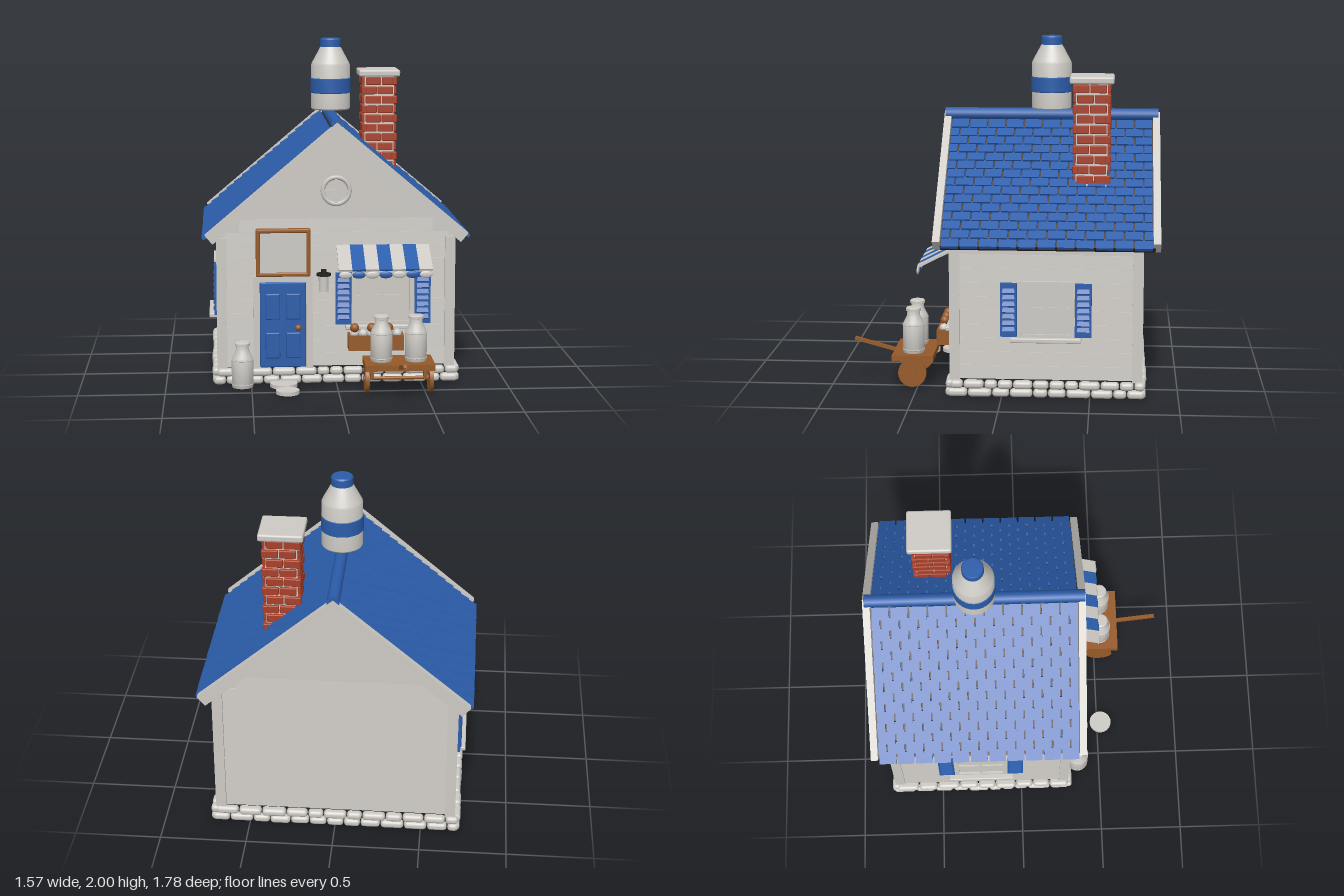
import * as THREE from 'three';
import { mergeGeometries, toCreasedNormals } from 'three/addons/utils/BufferGeometryUtils.js';
import { RoundedBoxGeometry } from 'three/addons/geometries/RoundedBoxGeometry.js';

const mat = (name, color) => Object.assign(new THREE.MeshStandardMaterial({ color }), { name });

export function createModel() {
  const white = mat('white paint', 0xcdcac5), blue = mat('blue paint', 0x2b5dab), wood = mat('wood', 0x965a28);
  const brick = mat('brick', 0xa8402a), dark = mat('dark wood', 0x3b2612), black = mat('black iron', 0x20221e);
  const root = new THREE.Group();
  let seed = 7;
  const rand = () => (seed = (seed * 16807) % 2147483647) / 2147483647;

  // Helpers
  const group = (name, x = 0, y = 0, z = 0, parent = root) => {
    const g = new THREE.Group();
    g.name = name;
    g.position.set(x, y, z);
    parent.add(g);
    return g;
  };
  const add = (parent, name, geo, m, x = 0, y = 0, z = 0) => {
    const mesh = new THREE.Mesh(geo, m);
    mesh.name = name;
    mesh.position.set(x, y, z);
    parent.add(mesh);
    return mesh;
  };
  const box = (p, name, m, w, h, d, x, y, z) => add(p, name, new THREE.BoxGeometry(w, h, d), m, x, y, z);
  const rbox = (p, name, m, w, h, d, x, y, z, r = 0.008) => add(p, name, new RoundedBoxGeometry(w, h, d, 2, r), m, x, y, z);
  const cyl = (p, name, m, r, h, x, y, z, n = 24) => add(p, name, new THREE.CylinderGeometry(r, r, h, n), m, x, y, z);
  const lathe = (p, name, m, pts, n = 32) =>
    add(p, name, toCreasedNormals(new THREE.LatheGeometry(pts.map(a => new THREE.Vector2(...a)), n), 0.6), m);
  const extrude = (p, name, m, pts, depth, z) => {
    const shape = new THREE.Shape(pts.map(a => new THREE.Vector2(...a)));
    return add(p, name, new THREE.ExtrudeGeometry(shape, { depth, bevelEnabled: false }), m, 0, 0, z);
  };

  // House dimensions
  const ZC = -0.25, APEX = 1.46, SLOPE = 0.847, ANGLE = Math.atan(SLOPE);
  const halfAt = y => Math.min(0.68, (APEX - y) / SLOPE);

  // Walls with lapped planks
  const house = group('house');
  extrude(house, 'wallCore', white, [[-0.68, 0.09], [0.68, 0.09], [0.68, 0.884], [0, APEX], [-0.68, 0.884]], 1.04, -0.77);
  const planks = [];
  const plank = (w, y, x, z, ry) => planks.push(new THREE.BoxGeometry(w, 0.077, 0.016)
    .rotateX(-0.07).translate(0, y, 0).rotateY(ry).translate(x, 0, z));
  for (let i = 0; i < 11; i++) {
    const y = 0.14 + i * 0.08, w = 2 * halfAt(y + 0.04);
    plank(w, y, 0, 0.273, 0);
    plank(w, y, 0, -0.773, Math.PI);
    if (i < 9) for (const s of [-1, 1]) plank(1.04, y, s * 0.682, ZC, s * Math.PI / 2);
  }
  add(house, 'wallPlanks', mergeGeometries(planks), white);
  const gable = [[-halfAt(0.98), 0.98], [halfAt(0.98), 0.98], [0, APEX]];
  extrude(house, 'frontGablePanel', white, gable, 0.012, 0.27);
  extrude(house, 'backGablePanel', white, gable, 0.012, -0.782);
  for (const x of [-0.67, 0.67]) for (const z of [0.267, -0.767])
    box(house, 'cornerBoard', white, 0.06, 0.78, 0.06, x, 0.48, z);

  // Stone foundation
  box(house, 'foundation', black, 1.38, 0.1, 1.06, 0, 0.052, ZC);
  const stones = [];
  for (let row = 0; row < 2; row++) for (let side = 0; side < 4; side++) {
    const len = side % 2 ? 1.12 : 1.44, dist = side % 2 ? 0.7 : 0.54;
    for (let t = -len / 2 + row * 0.02; t < len / 2 - 0.03;) {
      const w = Math.min(0.07 + rand() * 0.07, len / 2 - t);
      stones.push(new RoundedBoxGeometry(w, 0.047, 0.05 + rand() * 0.015, 2, 0.02)
        .translate(t + w / 2, 0.026 + row * 0.047, dist).rotateY(side * Math.PI / 2).translate(0, 0, ZC));
      t += w + 0.004;
    }
  }
  add(house, 'foundationStones', mergeGeometries(stones), white);

  // Roof: slab, barge boards, tiles and ridge
  const roof = group('roof');
  const chevron = (x, t) => {
    const top = APEX + t / Math.cos(ANGLE), dx = t * Math.sin(ANGLE), dy = t * Math.cos(ANGLE), y = APEX - SLOPE * x;
    return [[0, APEX], [x, y], [x + dx, y + dy], [0, top], [-x - dx, y + dy], [-x, y]];
  };
  extrude(roof, 'roofSlab', dark, chevron(0.72, 0.035), 1.22, -0.86);
  extrude(roof, 'frontBargeBoard', white, chevron(0.72, 0.07), 0.042, 0.343);
  extrude(roof, 'backBargeBoard', white, chevron(0.72, 0.07), 0.042, -0.89);
  const tiles = [], z0 = -0.848, z1 = 0.343, pitch = 0.108;
  for (const s of [-1, 1]) for (let r = 0; r < 15; r++) for (let c = 0; c < 12; c++) {
    const a = Math.max(z0, z0 + (c - (r % 2) / 2) * pitch) + 0.005;
    const b = Math.min(z1, z0 + (c + 1 - (r % 2) / 2) * pitch) - 0.005;
    if (b - a < 0.02) continue;
    tiles.push(new THREE.BoxGeometry(0.074, 0.018, b - a).rotateZ(0.14)
      .translate(0.032 + r * 0.0645, 0.05 + rand() * 0.003, (a + b) / 2)
      .rotateZ(-ANGLE).rotateY(s < 0 ? Math.PI : 0)
      .translate(0, APEX, s < 0 ? z0 + z1 : 0));
  }
  add(roof, 'roofTiles', mergeGeometries(tiles), blue);
  cyl(roof, 'ridgeCap', blue, 0.036, 1.26, 0, 1.536, ZC, 10).rotation.x = Math.PI / 2;

  // Brick chimney
  const chimney = group('chimney', 0.312, 0, -0.495);
  box(chimney, 'mortar', white, 0.18, 0.64, 0.18, 0, 1.45, 0);
  const bricks = [];
  for (let r = 0; r < 10; r++) for (let k = 0; k < 4; k++) for (const e of [-1, 1])
    bricks.push(new RoundedBoxGeometry(0.094, 0.047, 0.03, 1, 0.005)
      .translate(((r + k) % 2 ? 0.013 : -0.013) + e * 0.05, 1.205 + r * 0.058, 0.092).rotateY(k * Math.PI / 2));
  add(chimney, 'bricks', mergeGeometries(bricks), brick);
  rbox(chimney, 'chimneyCap', white, 0.254, 0.042, 0.254, 0, 1.776, 0, 0.012);

  // Rooftop bottle
  const bottle = group('bottle', 0, 1.57, ZC);
  lathe(bottle, 'bottleBody', white, [[0, 0], [0.112, 0], [0.118, 0.008], [0.118, 0.27], [0.112, 0.285], [0.066, 0.37], [0.058, 0.385], [0, 0.385]]);
  lathe(bottle, 'bottleBand', blue, [[0.117, 0.1], [0.122, 0.104], [0.122, 0.188], [0.117, 0.192]]);
  lathe(bottle, 'bottleCap', blue, [[0, 0.378], [0.062, 0.378], [0.062, 0.422], [0.056, 0.43], [0, 0.43]]);

  // Shuttered windows
  const makeWindow = (name, w, x, y, z, ry) => {
    const g = group(name, x, y, z, house);
    g.rotation.y = ry;
    box(g, 'pane', white, w, 0.31, 0.016, 0, 0, 0.004);
    for (const s of [-1, 1]) {
      box(g, 'windowFrame', white, 0.028, 0.33, 0.034, s * (w / 2 - 0.014), 0, 0.01);
      box(g, 'windowFrame', white, w, 0.028, 0.034, 0, s * 0.152, 0.01);
      const sx = s * (w / 2 + 0.048);
      box(g, 'shutter', blue, 0.094, 0.305, 0.018, sx, 0, 0.011);
      for (const e of [-1, 1]) {
        box(g, 'shutterRail', blue, 0.014, 0.305, 0.028, sx + e * 0.04, 0, 0.012);
        box(g, 'shutterRail', blue, 0.094, 0.022, 0.028, sx, e * 0.142, 0.012);
      }
      for (let i = 0; i < 7; i++) box(g, 'louvre', blue, 0.07, 0.026, 0.01, sx, -0.111 + i * 0.037, 0.022).rotation.x = -0.45;
    }
    box(g, 'mullion', white, 0.018, 0.29, 0.022, 0, 0, 0.01);
    box(g, 'mullion', white, w - 0.04, 0.018, 0.022, 0, 0.01, 0.01);
    rbox(g, 'windowSill', white, w + 0.075, 0.026, 0.07, 0, -0.168, 0.022, 0.006);
  };
  makeWindow('frontWindow', 0.37, 0.275, 0.507, 0.283, 0);
  makeWindow('rightWindow', 0.325, -0.69, 0.507, ZC, -Math.PI / 2);
  makeWindow('leftWindow', 0.325, 0.69, 0.507, ZC, Math.PI / 2);

  // Round gable window
  const round = group('roundWindow', 0, 1.145, 0.284, house);
  cyl(round, 'roundPane', white, 0.085, 0.012, 0, 0, 0.002).rotation.x = Math.PI / 2;
  add(round, 'roundFrame', new THREE.TorusGeometry(0.078, 0.013, 8, 32), white, 0, 0, 0.008);
  box(round, 'roundMullion', white, 0.014, 0.15, 0.016, 0, 0, 0.01);
  box(round, 'roundMullion', white, 0.15, 0.014, 0.016, 0, 0, 0.01);

  // Front door
  const door = group('door', -0.313, 0, 0.28, house);
  rbox(door, 'doorLeaf', blue, 0.27, 0.51, 0.03, 0, 0.355, 0.012);
  for (const s of [-1, 1]) {
    box(door, 'doorJamb', white, 0.038, 0.55, 0.04, s * 0.155, 0.37, 0.01);
    for (const y of [0.465, 0.233]) rbox(door, 'doorPanel', blue, 0.085, 0.155, 0.02, s * 0.06, y, 0.026);
  }
  box(door, 'doorHead', white, 0.348, 0.036, 0.04, 0, 0.63, 0.01);
  add(door, 'doorKnob', new THREE.SphereGeometry(0.019, 16, 12), wood, 0.088, 0.34, 0.042);

  // Blank sign board
  const sign = group('signBoard', -0.311, 0.785, 0.3, house);
  box(sign, 'signPanel', white, 0.29, 0.25, 0.024, 0, 0, 0);
  for (const s of [-1, 1]) {
    rbox(sign, 'signFrame', wood, 0.024, 0.28, 0.042, s * 0.147, 0, 0);
    rbox(sign, 'signFrame', wood, 0.316, 0.024, 0.042, 0, s * 0.129, 0);
  }

  // Wall lantern
  const lamp = group('lantern', -0.075, 0, 0.318, house);
  cyl(lamp, 'lanternGlass', white, 0.029, 0.09, 0, 0.602, 0, 16);
  cyl(lamp, 'lanternCap', black, 0.042, 0.014, 0, 0.656, 0, 16);
  cyl(lamp, 'lanternKnob', black, 0.016, 0.025, 0, 0.673, 0, 12);
  box(lamp, 'lanternBracket', black, 0.016, 0.016, 0.045, 0, 0.656, -0.022);

  // Striped awning with scallops
  const awning = group('awning', 0.273, 0, 0, house);
  for (let i = 0; i < 7; i++) {
    const x = (i - 3) * 0.0775, m = i % 2 ? blue : white;
    box(awning, 'awningStripe', m, 0.0775, 0.012, 0.246, x, 0.766, 0.385).rotation.x = 0.47;
    add(awning, 'awningScallop', new THREE.SphereGeometry(0.038, 16, 10).scale(1, 0.55, 0.22), m, x, 0.684, 0.495);
  }

  // Produce box under the window
  const crate = group('produceBox', 0.228, 0.26, 0.35, house);
  box(crate, 'boxBase', wood, 0.32, 0.05, 0.1, 0, -0.02, 0);
  for (const s of [-1, 1]) {
    box(crate, 'boxSide', wood, 0.325, 0.09, 0.012, 0, 0, s * 0.046);
    box(crate, 'boxEnd', wood, 0.012, 0.09, 0.1, s * 0.156, 0, 0);
  }
  for (let i = 0; i < 6; i++)
    add(crate, 'produce', new THREE.SphereGeometry(0.027, 14, 10), i % 2 ? white : wood, -0.125 + i * 0.05, i % 2 ? 0.05 : 0.085, 0.012);
  for (let i = 0; i < 6; i++)
    add(crate, 'produce', new THREE.SphereGeometry(0.026, 14, 10), i % 2 ? wood : white, -0.125 + i * 0.05, 0.045, -0.012);

  // Milk cans
  const makeCan = (parent, x, y, z) => {
    const g = group('milkCan', x, y, z, parent);
    lathe(g, 'canBody', white, [[0, 0], [0.06, 0], [0.063, 0.006], [0.063, 0.165], [0.058, 0.18], [0.038, 0.22], [0.036, 0.245],
      [0.044, 0.247], [0.044, 0.262], [0.038, 0.267], [0, 0.267]], 24);
    for (const h of [0.02, 0.165]) add(g, 'canRim', new THREE.TorusGeometry(0.062, 0.0035, 6, 24).rotateX(Math.PI / 2), white, 0, h, 0);
  };
  makeCan(root, -0.553, 0.002, 0.363);

  // Stepping stones
  cyl(root, 'steppingStone', white, 0.068, 0.022, -0.295, 0.011, 0.522);
  cyl(root, 'steppingStone', white, 0.08, 0.022, -0.312, 0.011, 0.36);

  // Hand cart
  const cart = group('handCart', 0.345, 0, 0.53);
  box(cart, 'cartBed', wood, 0.4, 0.036, 0.235, 0, 0.17, -0.005);
  box(cart, 'cartFrontLip', wood, 0.4, 0.036, 0.012, 0, 0.17, 0.112);
  for (const s of [-1, 1]) {
    cyl(cart, 'cartWheel', wood, 0.082, 0.024, s * 0.185, 0.084, 0).rotation.z = Math.PI / 2;
    cyl(cart, 'wheelHub', wood, 0.02, 0.036, s * 0.185, 0.084, 0, 12).rotation.z = Math.PI / 2;
    box(cart, 'axleBracket', wood, 0.02, 0.08, 0.04, s * 0.155, 0.12, 0);
    makeCan(cart, s * 0.1, 0.188, 0);
  }
  cyl(cart, 'axle', wood, 0.01, 0.37, 0, 0.084, 0, 10).rotation.z = Math.PI / 2;
  box(cart, 'cartHandle', wood, 0.022, 0.02, 0.265, 0, 0.205, 0.232).rotation.x = -0.265;

  return root;
}
